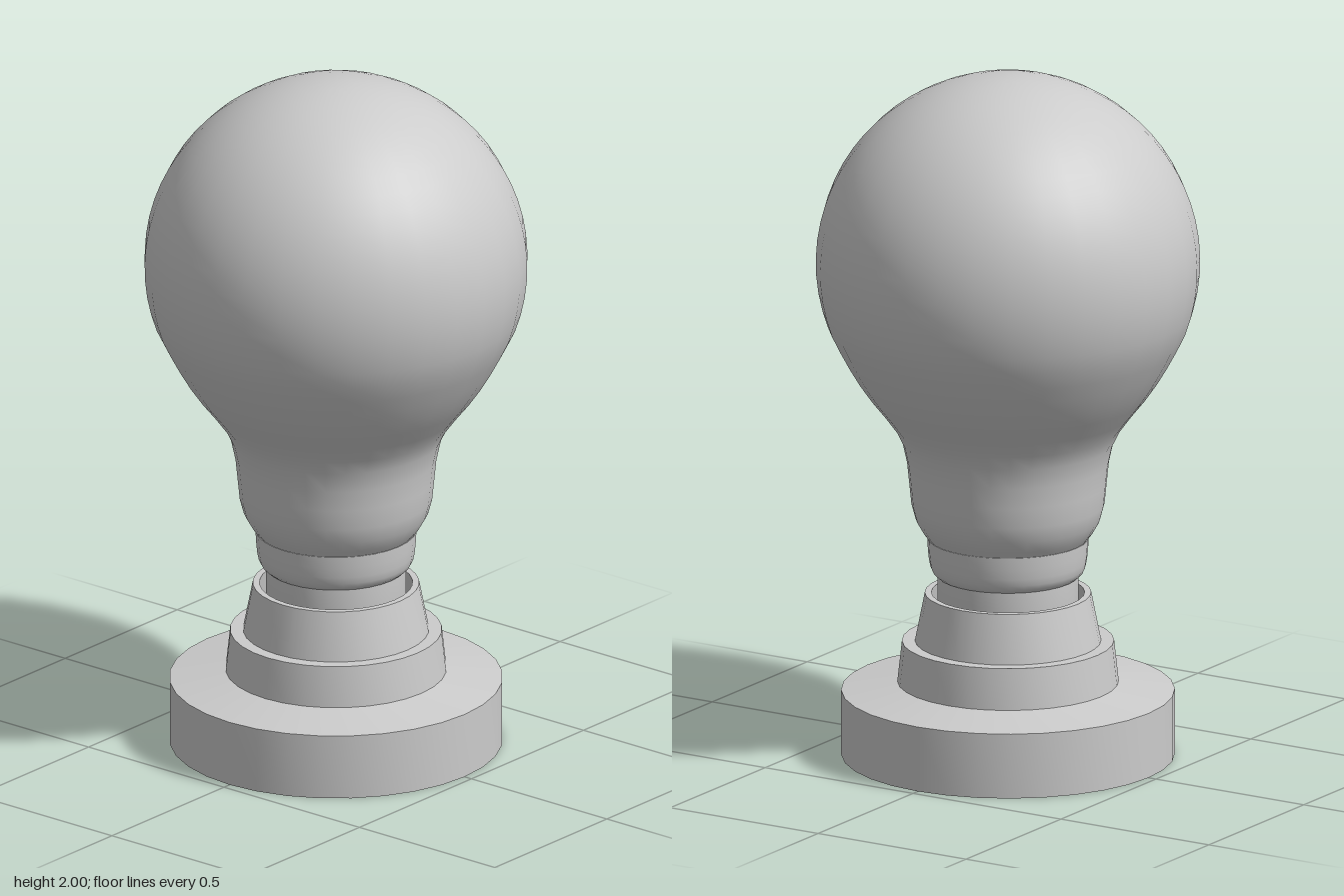
import * as THREE from 'three';
import { toCreasedNormals } from 'three/addons/utils/BufferGeometryUtils.js';

const SIDES = 32;
const material = new THREE.MeshStandardMaterial({ color: 0xcccccc, side: THREE.DoubleSide });

// Turns [radius, height] pairs around the y axis, keeping hard steps sharp
function turned(name, profile, crease = 0.45) {
  const points = profile.map(([r, y]) => new THREE.Vector2(r, y));
  const geometry = toCreasedNormals(new THREE.LatheGeometry(points, SIDES), crease);
  const mesh = new THREE.Mesh(geometry, material);
  mesh.name = name;
  return mesh;
}

export function createModel() {
  const model = new THREE.Group();
  model.name = 'bulbInSocket';

  // Glass: flared neck sweeping into a round top
  const glass = [
    [0.2, 0.64], [0.228, 0.64], [0.243, 0.66], [0.263, 0.695], [0.275, 0.74], [0.281, 0.8],
    [0.287, 0.86], [0.3, 0.92], [0.322, 0.965], [0.355, 1.01], [0.395, 1.06], [0.43, 1.11],
    [0.46, 1.16], [0.487, 1.21],
  ];
  const R = 0.547;
  const steps = 20;
  const start = -0.36;
  for (let i = 0; i <= steps; i++) {
    const a = start + (Math.PI / 2 - start) * (i / steps);
    glass.push([i === steps ? 0 : R * Math.cos(a), 1.453 + R * Math.sin(a)]);
  }
  model.add(turned('glassBulb', glass, 0.6));

  // Metal sleeve under the glass
  model.add(turned('sleeve', [
    [0.19, 0.525], [0.203, 0.53], [0.214, 0.54], [0.221, 0.555], [0.225, 0.575],
    [0.228, 0.605], [0.23, 0.64], [0.2, 0.642],
  ], 0.6));

  // Screw cap running down inside the socket
  model.add(turned('screwCap', [
    [0, 0.2], [0.09, 0.205], [0.16, 0.25], [0.19, 0.28], [0.2, 0.31], [0.2, 0.535],
  ]));

  // Rounded electrical contact at the bottom
  model.add(turned('contact', [
    [0, 0.15], [0.04, 0.153], [0.075, 0.168], [0.09, 0.19], [0.092, 0.21],
  ], 0.8));

  // Hollow socket: outer steps going up, then the inner wall coming down
  model.add(turned('socket', [
    [0.458, 0], [0.475, 0], [0.475, 0.19], [0.315, 0.215], [0.302, 0.335],
    [0.265, 0.335], [0.237, 0.477], [0.218, 0.477], [0.243, 0.315],
    [0.282, 0.312], [0.295, 0.19], [0.44, 0.17], [0.458, 0.15], [0.458, 0],
  ]));

  return model;
}
